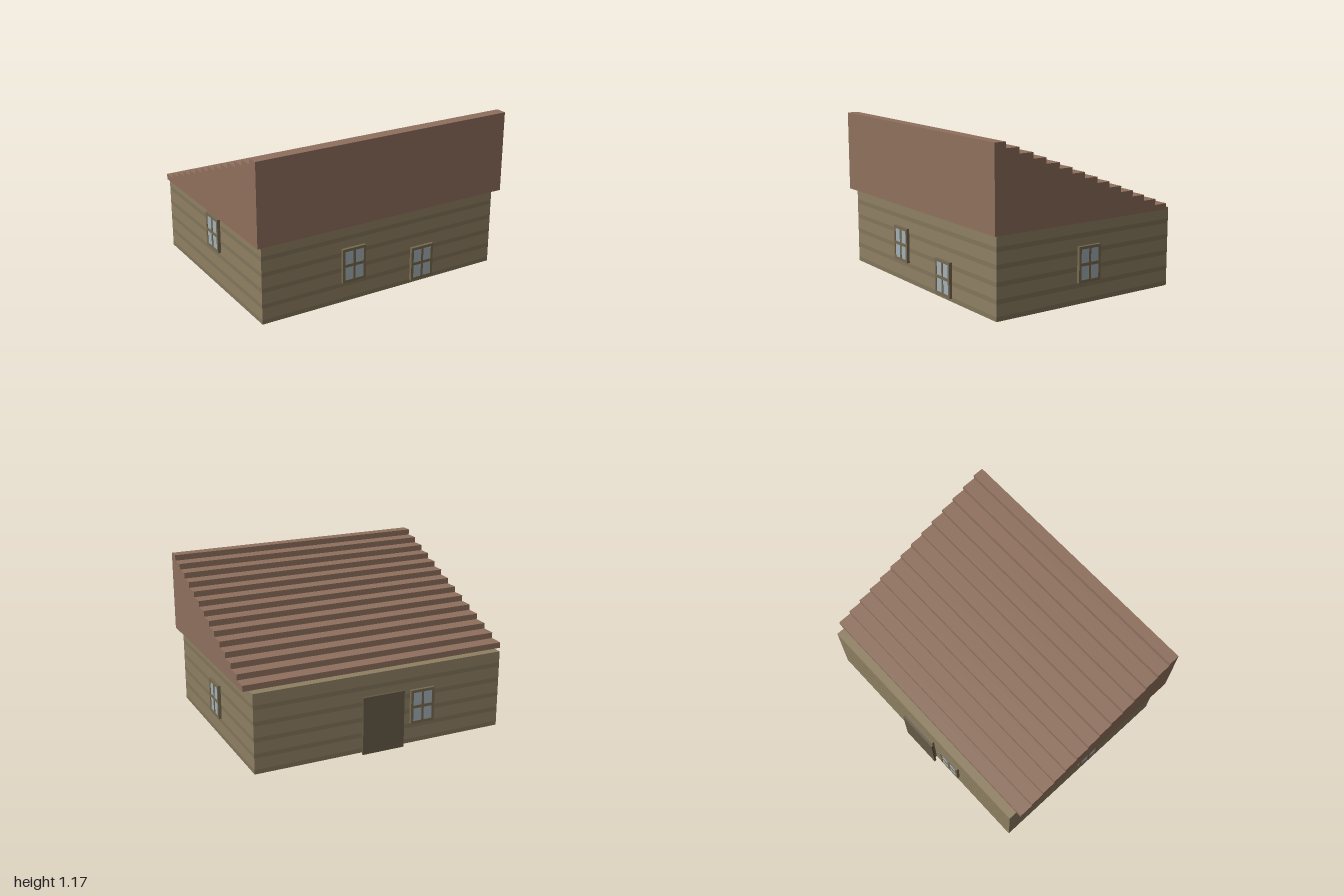
import * as THREE from 'three';

const mat = (color) => new THREE.MeshStandardMaterial({ color, flatShading: true });
const boardMat = mat(0x8f8063);
const seamMat = mat(0x82755a);
const roofMat = mat(0x8f705d);
const frameMat = mat(0x776a50);
const doorMat = mat(0x655945);
const glassMat = mat(0xa3b1b8);

const W = 1.91, D = 1.49, H = 0.577; // wall block

function box(name, material, w, h, d, x, y, z) {
  const m = new THREE.Mesh(new THREE.BoxGeometry(w, h, d), material);
  m.name = name;
  m.position.set(x, y, z);
  return m;
}

// Flush horizontal siding: each course is a dark seam below a lighter board
function makeWalls() {
  const walls = new THREE.Group();
  walls.name = 'walls';
  const courses = 5, step = H / courses, seam = 0.032;
  for (let i = 0; i < courses; i++) {
    const y = i * step;
    walls.add(box('sidingSeam', seamMat, W, seam, D, 0, y + seam / 2, 0));
    walls.add(box('sidingBoard', boardMat, W, step - seam, D, 0, y + (step + seam) / 2, 0));
  }
  return walls;
}

// Stepped single-pitch roof, extruded along x from its side profile
function makeRoof() {
  const steps = 14, front = 0.787, back = -0.681, top = 1.172;
  const rise = (top - H) / steps, tread = 0.1065;
  const s = new THREE.Shape();
  s.moveTo(-front, H);
  s.lineTo(-back, H);
  for (let i = 0; i < steps; i++) {
    const z = back + i * tread, y = H + (i + 1) * rise;
    s.lineTo(-z, y);
    s.lineTo(i === steps - 1 ? -front : -(z + tread), y);
  }
  const geo = new THREE.ExtrudeGeometry(s, { depth: 2, bevelEnabled: false });
  geo.translate(0, 0, -1);
  geo.rotateY(Math.PI / 2); // shape x becomes -z
  const roof = new THREE.Mesh(geo, roofMat);
  roof.name = 'roof';
  return roof;
}

function rect(target, x0, y0, x1, y1) {
  target.moveTo(x0, y0);
  target.lineTo(x1, y0);
  target.lineTo(x1, y1);
  target.lineTo(x0, y1);
  target.closePath();
  return target;
}

// Four-pane window; its back lies on z = 0 and it faces +z
function makeWindow(name, x, y, z, turn) {
  const w = 0.187, h = 0.254, t = 0.022;
  const shape = rect(new THREE.Shape(), -w / 2, -h / 2, w / 2, h / 2);
  for (const sx of [-1, 1]) for (const sy of [-1, 1]) {
    const xs = [sx * 0.009, sx * 0.074].sort((a, b) => a - b);
    const ys = [sy * 0.011, sy * 0.107].sort((a, b) => a - b);
    shape.holes.push(rect(new THREE.Path(), xs[0], ys[0], xs[1], ys[1]));
  }
  const g = new THREE.Group();
  g.name = name;
  const frame = new THREE.Mesh(
    new THREE.ExtrudeGeometry(shape, { depth: t, bevelEnabled: false }), frameMat);
  frame.name = 'windowFrame';
  g.add(frame, box('windowGlass', glassMat, w - 0.03, h - 0.03, t - 0.004, 0, 0, (t - 0.004) / 2));
  g.position.set(x, y, z);
  g.rotation.y = turn;
  return g;
}

// Back door: frame block against the wall with a wider slab in front
function makeDoor() {
  const door = new THREE.Group();
  door.name = 'door';
  door.add(box('doorFrame', frameMat, 0.276, 0.405, 0.025, 0.008, 0.2025, -D / 2 - 0.0125));
  door.add(box('doorSlab', doorMat, 0.32, 0.425, 0.017, 0.008, 0.2125, -D / 2 - 0.0335));
  return door;
}

export function createModel() {
  const house = new THREE.Group();
  house.name = 'house';
  house.add(makeWalls(), makeRoof(), makeDoor());
  house.add(makeWindow('frontUpperWindow', -0.247, 0.278, D / 2, 0));
  house.add(makeWindow('frontLowerWindow', 0.328, 0.152, D / 2, 0));
  house.add(makeWindow('backWindow', -0.311, 0.278, -D / 2, Math.PI));
  house.add(makeWindow('leftWindow', W / 2, 0.278, -0.01, Math.PI / 2));
  house.add(makeWindow('rightWindow', -W / 2, 0.407, 0.04, -Math.PI / 2));
  return house;
}
